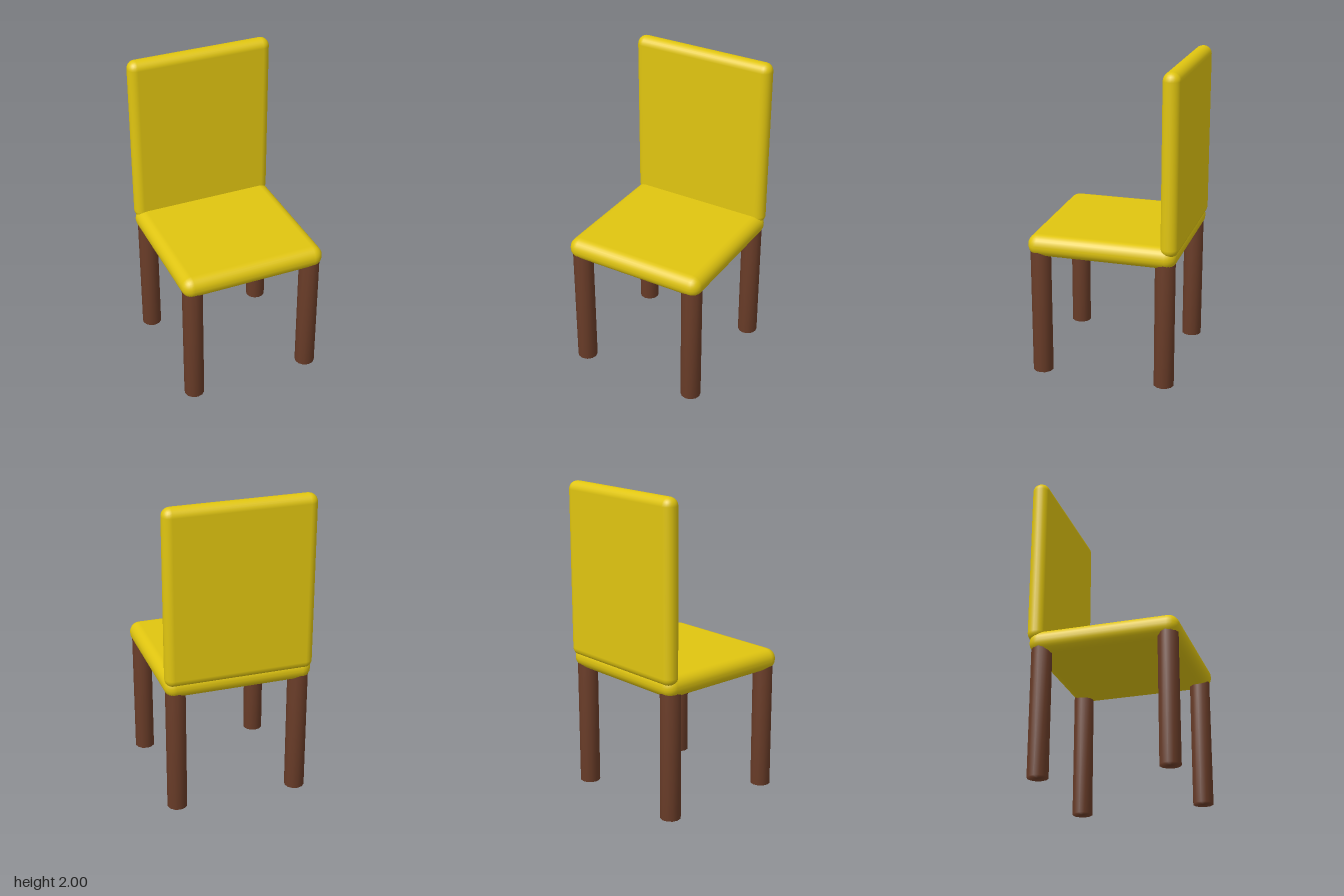
import * as THREE from 'three';
import { RoundedBoxGeometry } from 'three/addons/geometries/RoundedBoxGeometry.js';
import { mergeVertices } from 'three/addons/utils/BufferGeometryUtils.js';

const yellow = new THREE.MeshStandardMaterial({ color: 0xe0c510 });
yellow.name = 'yellow cushion';
const brown = new THREE.MeshStandardMaterial({ color: 0x693c28 });
brown.name = 'brown wood';

function addMesh(group, name, geometry, material, x, y, z) {
  const mesh = new THREE.Mesh(geometry, material);
  mesh.name = name;
  mesh.position.set(x, y, z);
  group.add(mesh);
}

// Share the rim vertices so shading flows softly over the ends
function softCylinder(radius, height, sides) {
  const g = new THREE.CylinderGeometry(radius, radius, height, sides);
  g.deleteAttribute('normal');
  g.deleteAttribute('uv');
  const soft = mergeVertices(g);
  soft.computeVertexNormals();
  return soft;
}

export function createModel() {
  const chair = new THREE.Group();
  chair.name = 'chair';

  // Padded seat and upright back
  addMesh(chair, 'seat', new RoundedBoxGeometry(0.95, 0.14, 0.95, 3, 0.068), yellow, 0, 0.86, 0.005);
  addMesh(chair, 'backrest', new RoundedBoxGeometry(0.95, 1.13, 0.11, 3, 0.054), yellow, 0, 1.435, -0.425);

  // Four round legs, their tops sunk into the seat
  const legHeight = 0.84;
  const leg = softCylinder(0.065, legHeight, 12);
  for (const [side, x] of [['left', 0.4], ['right', -0.4]]) {
    for (const [end, z] of [['Front', 0.405], ['Back', -0.395]]) {
      addMesh(chair, `${side}${end}Leg`, leg, brown, x, legHeight / 2, z);
    }
  }
  return chair;
}
